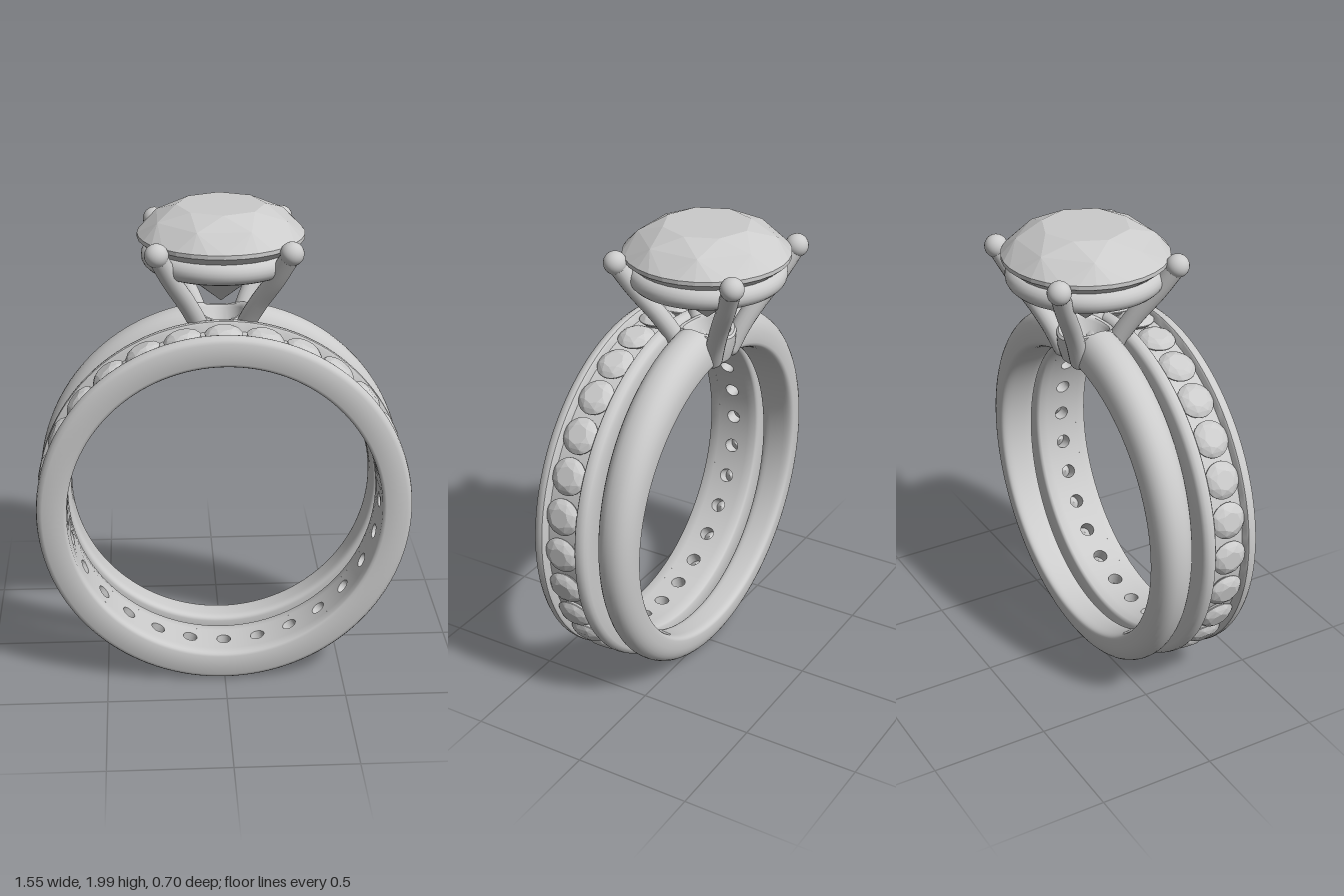
import * as THREE from 'three';
import { toCreasedNormals } from 'three/addons/utils/BufferGeometryUtils.js';
import { ConvexGeometry } from 'three/addons/geometries/ConvexGeometry.js';

const CY = 0.783;          // height of the finger axis
const SETTING_Z = -0.014;  // depth of the centre stone
const BAND_Z = 0.223;      // depth of the stone-set band
const STONES = 28;
const metal = new THREE.MeshStandardMaterial({ color: 0xcccccc, side: THREE.DoubleSide });

function add(parent, name, geometry, x = 0, y = 0, z = 0) {
  const mesh = new THREE.Mesh(geometry, metal);
  mesh.name = name;
  mesh.position.set(x, y, z);
  parent.add(mesh);
  return mesh;
}

// Brilliant cut: girdle of radius r at y = 0, table above, culet below
function brilliant(r) {
  const points = [new THREE.Vector3(0, -0.84 * r, 0)];
  const ring = (n, radius, y, turn = 0) => {
    for (let i = 0; i < n; i++) {
      const a = ((i + turn) / n) * Math.PI * 2;
      points.push(new THREE.Vector3(Math.cos(a) * radius * r, y * r, Math.sin(a) * radius * r));
    }
  };
  ring(8, 0.53, 0.36);
  ring(8, 0.82, 0.225, 0.5);
  ring(32, 1, 0.025);
  ring(32, 1, -0.025);
  ring(8, 0.58, -0.33, 0.5);
  return new ConvexGeometry(points);
}

// Shank: D-shaped section swept round the finger, wider and thicker at the top
function shankGeometry() {
  const M = 32, N = 128, gap = 0.14, pos = [], idx = [];
  const rows = [[gap, 0], [gap, 1]];
  for (let i = 0; i <= N; i++) rows.push([gap + (i / N) * (Math.PI * 2 - 2 * gap), 1]);
  rows.push([Math.PI * 2 - gap, 1], [Math.PI * 2 - gap, 0]);
  const pow = (v, e) => Math.sign(v) * Math.abs(v) ** e;
  rows.forEach(([t, s], i) => {
    const k = (1 + Math.cos(t)) / 2;
    const inner = 0.638, thick = 0.763 + 0.042 * k ** 3 - inner, w = 0.063 + 0.032 * k;
    const mid = inner + 0.3 * thick;
    for (let j = 0; j < M; j++) {
      const a = (j / M) * Math.PI * 2, c = Math.cos(a), sn = Math.sin(a);
      const e = sn < 0 ? 0.5 : 0.9;
      const r = mid + s * pow(sn, e) * thick * (sn < 0 ? 0.3 : 0.7);
      pos.push(Math.sin(t) * r, Math.cos(t) * r, s * w * pow(c, e));
      if (i < rows.length - 1) {
        const p = i * M + j, q = i * M + ((j + 1) % M);
        idx.push(p, p + M, q, q, p + M, q + M);
      }
    }
  });
  const g = new THREE.BufferGeometry();
  g.setAttribute('position', new THREE.Float32BufferAttribute(pos, 3));
  g.setIndex(idx);
  g.computeVertexNormals();
  return g;
}

// One drilled piece of the channel floor, bent round the finger axis
function floorGeometry() {
  const half = (Math.PI / STONES) * 0.69, w = 0.077, shape = new THREE.Shape();
  shape.moveTo(-half, -w);
  for (let i = 1; i <= 6; i++) shape.lineTo(-half + (i / 3) * half, -w);
  for (let i = 0; i <= 6; i++) shape.lineTo(half - (i / 3) * half, w);
  shape.closePath();
  shape.holes.push(new THREE.Path().absarc(0, 0, 0.032, 0, Math.PI * 2, true));
  const g = new THREE.ExtrudeGeometry(shape, { depth: 0.083, bevelEnabled: false, curveSegments: 20 });
  g.rotateX(-Math.PI / 2);
  const p = g.attributes.position, n = g.attributes.normal;
  const axis = new THREE.Vector3(0, 0, 1), v = new THREE.Vector3();
  for (let i = 0; i < p.count; i++) {
    const a = -p.getX(i) / 0.69;
    v.set(0, 0.65 + p.getY(i), p.getZ(i)).applyAxisAngle(axis, a);
    p.setXYZ(i, v.x, v.y, v.z);
    v.fromBufferAttribute(n, i).applyAxisAngle(axis, a);
    n.setXYZ(i, v.x, v.y, v.z);
  }
  return g;
}

// Rail of the band: closed section, its outside edge softly rounded
function railGeometry(side) {
  const profile = [
    [0.65, 0.074], [0.765, 0.074], [0.773, 0.08], [0.775, 0.09], [0.772, 0.107],
    [0.764, 0.119], [0.75, 0.126], [0.665, 0.126], [0.655, 0.122], [0.65, 0.114], [0.65, 0.074],
  ].map(([r, z]) => new THREE.Vector2(r, z * side));
  if (side < 0) profile.reverse();
  const g = new THREE.LatheGeometry(profile, 128);
  g.rotateX(Math.PI / 2);
  return toCreasedNormals(g, 0.7);
}

// Cup in the top of the shank: saddle-shaped rim, drilled bottom
function cupGeometry() {
  const profile = [
    [0.03, 1.425], [0.1, 1.425], [0.116, 1.48], [0.12, 1.53], [0.112, 1.54], [0.098, 1.54],
    [0.09, 1.53], [0.078, 1.48], [0.055, 1.455], [0.03, 1.445], [0.03, 1.425],
  ].map(([r, y]) => new THREE.Vector2(r, y));
  const g = new THREE.LatheGeometry(profile, 48);
  const p = g.attributes.position;
  for (let i = 0; i < p.count; i++) {
    const x = p.getX(i), y = p.getY(i);
    if (y > 1.5) p.setY(i, y + 0.04 * (x / 0.12) ** 2);
    else if (y < 1.43) p.setY(i, y - (x * x) / 1.28);
  }
  return toCreasedNormals(g, 0.7);
}

export function createModel() {
  const model = new THREE.Group();
  model.name = 'ringSet';

  // Solitaire ring
  const solitaire = new THREE.Group();
  solitaire.name = 'solitaireRing';
  model.add(solitaire);
  add(solitaire, 'shank', shankGeometry(), 0, CY, -0.01);
  add(solitaire, 'cup', cupGeometry(), 0, 0, SETTING_Z);
  const collar = new THREE.TorusGeometry(0.278, 0.047, 20, 72);
  collar.rotateX(Math.PI / 2);
  add(solitaire, 'collar', collar, 0, 1.795, SETTING_Z);
  add(solitaire, 'centreStone', brilliant(0.34), 0, 1.878, SETTING_Z);

  // Four prongs with ball tips
  const path = [[0.07, 1.45], [0.103, 1.54], [0.145, 1.63], [0.21, 1.75], [0.265, 1.868]];
  for (const sx of [-1, 1]) for (const sz of [-1, 1]) {
    const prong = new THREE.Group();
    prong.name = 'prong';
    prong.position.z = SETTING_Z;
    solitaire.add(prong);
    const points = path.map(([d, y]) => new THREE.Vector3(sx * d, y, sz * d));
    add(prong, 'prongArm', new THREE.TubeGeometry(new THREE.CatmullRomCurve3(points), 24, 0.039, 16));
    add(prong, 'prongTip', new THREE.SphereGeometry(0.048, 24, 16), ...points[4].toArray());
    add(prong, 'prongFoot', new THREE.SphereGeometry(0.039, 16, 12), ...points[0].toArray());
  }

  // Band with a full circle of small stones in a channel
  const band = new THREE.Group();
  band.name = 'stoneBand';
  band.position.set(0, CY, BAND_Z);
  model.add(band);
  add(band, 'frontRail', railGeometry(1));
  add(band, 'backRail', railGeometry(-1));
  const floor = floorGeometry(), stone = brilliant(0.077);
  for (let i = 0; i < STONES; i++) {
    const a = (i / STONES) * Math.PI * 2;
    add(band, 'channelFloor', floor).rotation.z = -a;
    add(band, 'smallStone', stone, Math.sin(a) * 0.749, Math.cos(a) * 0.749, 0).rotation.z = -a;
  }
  return model;
}
